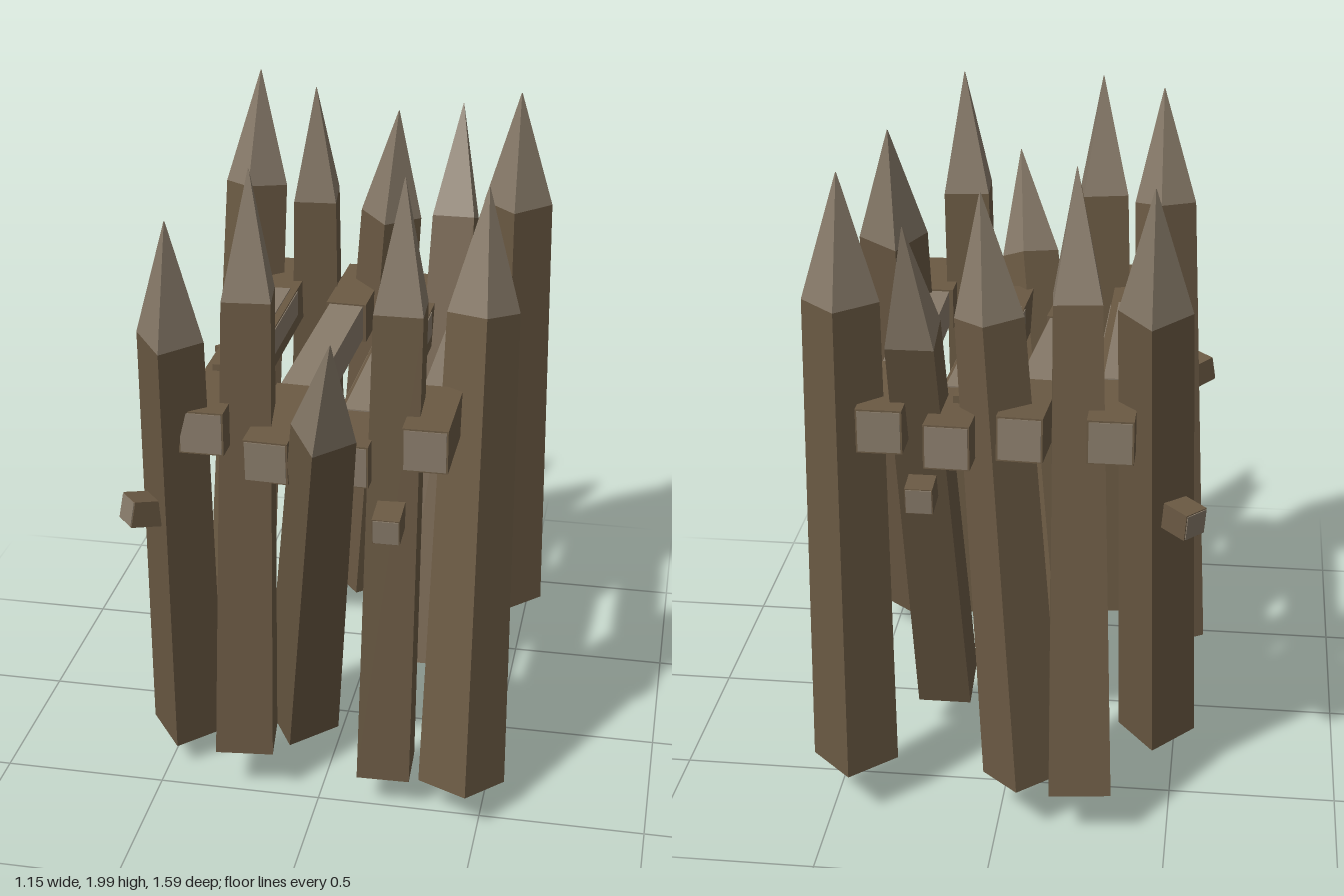
import * as THREE from 'three';

export function createModel() {
  const model = new THREE.Group();
  const bark = new THREE.MeshStandardMaterial({ color: 0x6a5943 });
  bark.name = 'brownWood';
  const cut = new THREE.MeshStandardMaterial({ color: 0x877a69 });
  cut.name = 'paleCutWood';

  const V = (a) => new THREE.Vector3(...a);
  const UP = new THREE.Vector3(0, 1, 0);

  function add(parent, geometry, material, name, x = 0, y = 0, z = 0) {
    const mesh = new THREE.Mesh(geometry, material);
    mesh.name = name;
    mesh.position.set(x, y, z);
    parent.add(mesh);
    return mesh;
  }

  // Four-sided tapered prism with flat normals, sides facing the axes
  function square(top, bottom, height, open = false) {
    const g = new THREE.CylinderGeometry(top * Math.SQRT1_2, bottom * Math.SQRT1_2, height, 4, 1, open)
      .rotateY(Math.PI / 4).toNonIndexed();
    g.computeVertexNormals();
    return g;
  }

  // Sharpened stake running straight from the foot centre to the point
  function stake(name, foot, point, yaw, bottom = 0.18, top = 0.15) {
    const a = V(foot), d = V(point).sub(a), len = d.length();
    const shaft = len * 0.8, tip = len - shaft;
    const g = new THREE.Group();
    g.name = name;
    g.position.copy(a);
    g.quaternion.setFromUnitVectors(UP, d.normalize());
    g.quaternion.multiply(new THREE.Quaternion().setFromAxisAngle(UP, THREE.MathUtils.degToRad(yaw)));
    add(g, square(top, bottom, shaft), bark, 'shaft', 0, shaft / 2, 0);
    add(g, square(0.002, top, tip, true), cut, 'sharpenedTip', 0, shaft + tip / 2, 0);
    model.add(g);
  }

  // Front row
  stake('frontStakeRight', [-0.46, 0.11, 0.30], [-0.38, 1.91, 0.64], 40, 0.165, 0.14);
  stake('frontStakeInnerRight', [-0.24, 0.16, 0.43], [-0.20, 2.0, 0.42], 8, 0.175, 0.14);
  stake('frontStakeMiddle', [-0.13, 0.06, 0.12], [0.10, 1.65, 0.79], 38, 0.175, 0.135);
  stake('frontStakeInnerLeft', [0.20, 0.12, 0.44], [0.235, 2.0, 0.42], 3, 0.16, 0.14);
  stake('frontStakeLeft', [0.44, 0.12, 0.48], [0.43, 1.89, 0.12], -33, 0.185, 0.15);
  // Back row
  stake('backStakeRight', [-0.45, 0.17, -0.38], [-0.42, 1.98, -0.69], 42, 0.165, 0.145);
  stake('backStakeInnerRight', [-0.24, 0.16, -0.70], [-0.20, 1.98, -0.51], 6, 0.18, 0.135);
  stake('backStakeMiddle', [-0.07, 0.16, -0.67], [0.06, 1.91, -0.54], 42, 0.17, 0.14);
  stake('backStakeInnerLeft', [0.23, 0.15, -0.16], [0.235, 1.88, -0.77], 0, 0.165, 0.135);
  stake('backStakeLeft', [0.44, 0.16, -0.63], [0.44, 1.97, -0.60], 45, 0.18, 0.155);

  // Cross beam from its back end to its front end; z0..z1 is the pale worn stretch
  function beam(name, back, front, z0, z1, carved, width) {
    const a = V(back), b = V(front), len = a.distanceTo(b), s = 0.13;
    const g = new THREE.Group();
    g.name = name;
    g.position.copy(a).add(b).multiplyScalar(0.5);
    g.lookAt(b);
    const box = (w, h, l, mat, n, x, y, z) => add(g, new THREE.BoxGeometry(w, h, l), mat, n, x, y, z);
    const m0 = z0 - g.position.z, m1 = z1 - g.position.z, mid = (m0 + m1) / 2, h = len / 2;
    if (carved) {
      box(s, s, m0 + h, bark, 'backEnd', 0, 0, (m0 - h) / 2);
      box(s, s, h - m1, bark, 'frontEnd', 0, 0, (m1 + h) / 2);
      box(width, s - 0.016, m1 - m0, cut, 'wornMiddle', 0, 0.003, mid);
    } else {
      box(s, s, len, bark, 'body', 0, 0, 0);
      box(width, 0.008, m1 - m0, cut, 'wornTop', 0, s / 2, mid);
      for (const x of [-1, 1]) {
        box(0.006, 0.08, m1 - m0, cut, 'wornSide', x * s / 2, 0.02, mid);
      }
    }
    for (const e of [-1, 1]) box(s - 0.01, s - 0.01, 0.006, cut, 'cutEnd', 0, 0, e * h);
    model.add(g);
  }
  beam('beamRight', [-0.315, 1.265, -0.715], [-0.315, 1.265, 0.58], -0.42, 0.21, false, 0.085);
  beam('beamInnerRight', [-0.065, 1.26, -0.71], [-0.13, 1.19, 0.58], -0.39, 0.21, true, 0.11);
  beam('beamInnerLeft', [0.135, 1.235, -0.73], [0.095, 1.185, 0.55], -0.43, 0.33, false, 0.11);
  beam('beamLeft', [0.325, 1.265, -0.71], [0.325, 1.265, 0.58], -0.35, 0.27, true, 0.105);

  // Pegs knocked through the stakes
  function peg(at, yaw, tilt) {
    const g = new THREE.Group();
    g.name = 'peg';
    g.position.set(...at);
    g.rotation.set(tilt, yaw, 0, 'YXZ');
    add(g, new THREE.BoxGeometry(0.08, 0.08, 0.14), bark, 'pegBody');
    add(g, new THREE.BoxGeometry(0.074, 0.074, 0.006), cut, 'pegEnd', 0, 0, 0.07);
    model.add(g);
  }
  peg([-0.495, 0.98, 0.52], -0.85, -0.2);
  peg([0.22, 1.02, 0.53], 0, 0.12);
  peg([-0.50, 1.0, -0.59], -2.3, 0.1);
  peg([0.23, 1.03, -0.57], Math.PI, 0.1);

  // Small nails on top of two beams
  for (const [x, y, z] of [[-0.335, 1.335, 0.25], [0.12, 1.3, -0.52]]) {
    add(model, new THREE.BoxGeometry(0.04, 0.03, 0.06), bark, 'nail', x, y, z);
  }

  return model;
}
